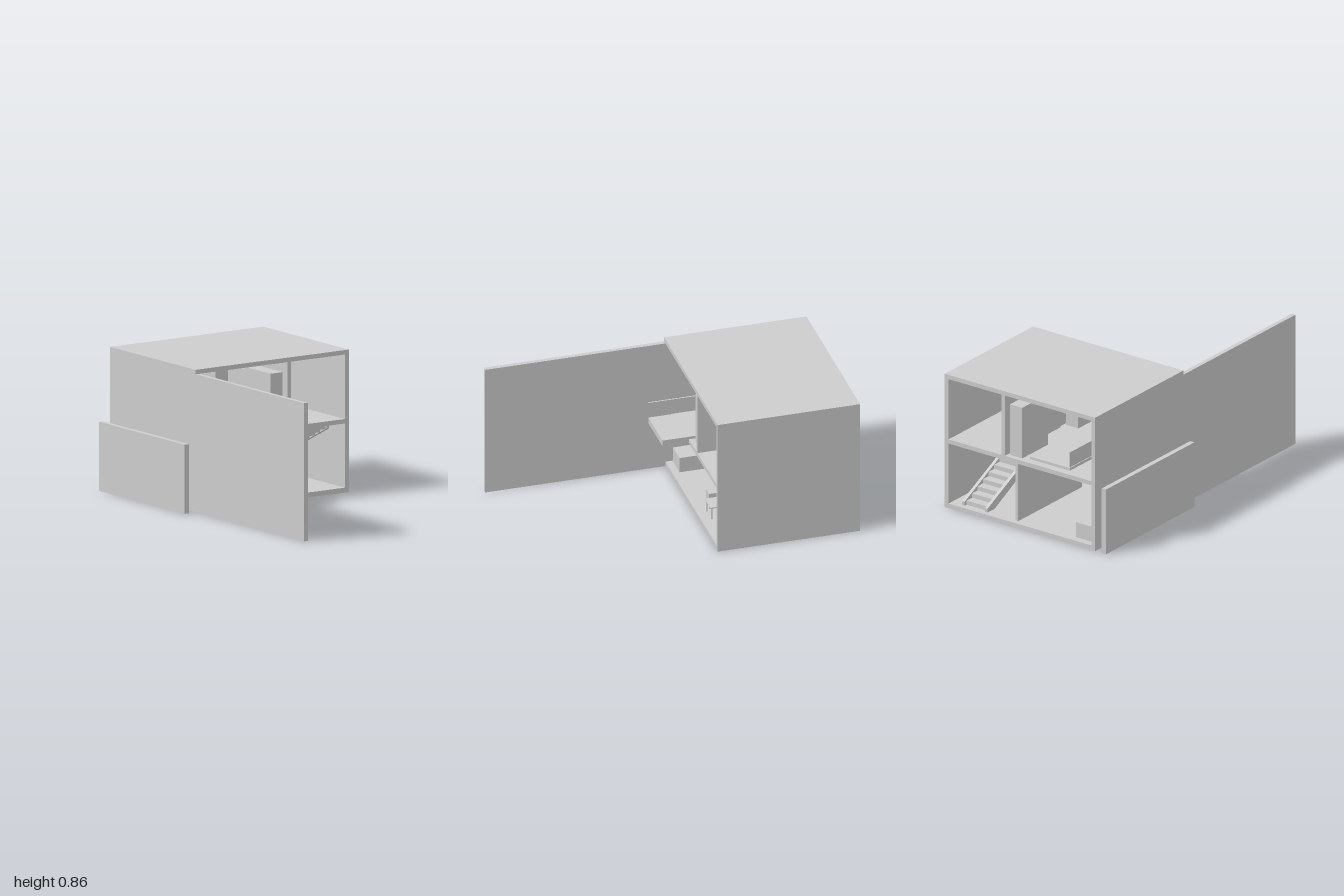
import * as THREE from 'three';

export function createModel() {
  const house = new THREE.Group();
  house.name = 'house';
  const grey = new THREE.MeshStandardMaterial({ color: 0xcccccc });
  grey.name = 'plain grey';

  // box given by its extents on each axis
  function box(name, x0, x1, y0, y1, z0, z1, parent = house) {
    const mesh = new THREE.Mesh(new THREE.BoxGeometry(x1 - x0, y1 - y0, z1 - z0), grey);
    mesh.position.set((x0 + x1) / 2, (y0 + y1) / 2, (z0 + z1) / 2);
    mesh.name = name;
    parent.add(mesh);
    return mesh;
  }
  function group(name) {
    const g = new THREE.Group();
    g.name = name;
    house.add(g);
    return g;
  }

  // shell, open at both ends
  const L = -1, R = -0.117, BACK = -0.595, FRONT = 0.516;
  const GROUND = 0.03, CEILING = 0.418, UPPER = 0.445, EAVES = 0.835;
  box('groundFloor', L, R, 0, GROUND, -0.567, 0.488);
  box('upperFloor', L, R, CEILING, UPPER, -0.567, 0.488);
  box('roof', L, R, EAVES, 0.862, BACK, FRONT);
  box('backWall', L, R, 0, EAVES, BACK, -0.567);
  box('longFrontWall', L, 1, 0, EAVES, 0.488, FRONT);
  box('gardenWall', L, R, 0, CEILING, 0.565, 0.596);

  // upper storey
  box('upperPartition', L, R, UPPER, EAVES, -0.175, -0.151);
  box('bedroomScreen', -0.71, -0.41, UPPER, 0.728, 0.345, 0.37);
  box('upperDoor', -0.66, -0.46, UPPER, 0.728, -0.151, -0.14);
  box('rightWardrobe', -0.97, -0.71, UPPER, 0.772, -0.135, -0.045);
  box('leftWardrobe', -0.41, -0.145, UPPER, 0.772, -0.135, -0.045);
  const bed = group('bed');
  box('mattress', -0.95, 0.047, 0.423, 0.462, 0, 0.292, bed);
  box('headboard', -0.95, 0.047, 0.468, 0.565, 0.286, 0.295, bed);

  // ground storey
  box('lowerPartition', -0.966, -0.336, GROUND, CEILING, -0.096, -0.077);
  box('lowerDoor', -0.7, -0.46, GROUND, 0.312, -0.173, -0.15);
  box('sofa', -0.955, -0.16, GROUND, 0.127, 0.34, 0.475);
  box('wallCabinet', -0.85, -0.27, 0.21, 0.385, 0.457, 0.488);

  // furniture on four thin legs
  function legged(name, x0, x1, y0, y1, z0, z1, inset) {
    const g = group(name);
    box(name + 'Top', x0, x1, y0, y1, z0, z1, g);
    for (const x of [x0 + inset, x1 - inset - 0.006])
      for (const z of [z0 + inset, z1 - inset - 0.006])
        box(name + 'Leg', x, x + 0.006, GROUND, y0, z, z + 0.006, g);
  }
  legged('table', -0.6, -0.17, 0.107, 0.113, -0.268, -0.15, 0.008);
  legged('sideboard', -0.335, -0.2, 0.073, 0.134, -0.14, -0.077, 0.002);

  // staircase rising towards +x between two sloping stringers
  const stairs = group('staircase');
  const side = new THREE.Shape([
    [-0.97, 0.03], [-0.9, 0.03], [-0.17, 0.39], [-0.17, 0.418], [-0.21, 0.418], [-0.97, 0.055],
  ].map(([x, y]) => new THREE.Vector2(x, y)));
  for (const z of [-0.49, -0.32]) {
    const geometry = new THREE.ExtrudeGeometry(side, { depth: 0.02, bevelEnabled: false });
    const stringer = new THREE.Mesh(geometry, grey);
    stringer.position.z = z;
    stringer.name = 'stringer';
    stairs.add(stringer);
  }
  const steps = 14, rise = (0.412 - GROUND) / steps, run = 0.77 / steps;
  for (let i = 0; i < steps; i++) {
    const x = -0.95 + i * run, y = GROUND + i * rise;
    box('step', x, x + run, y, y + rise, -0.47, -0.32, stairs);
  }

  return house;
}
